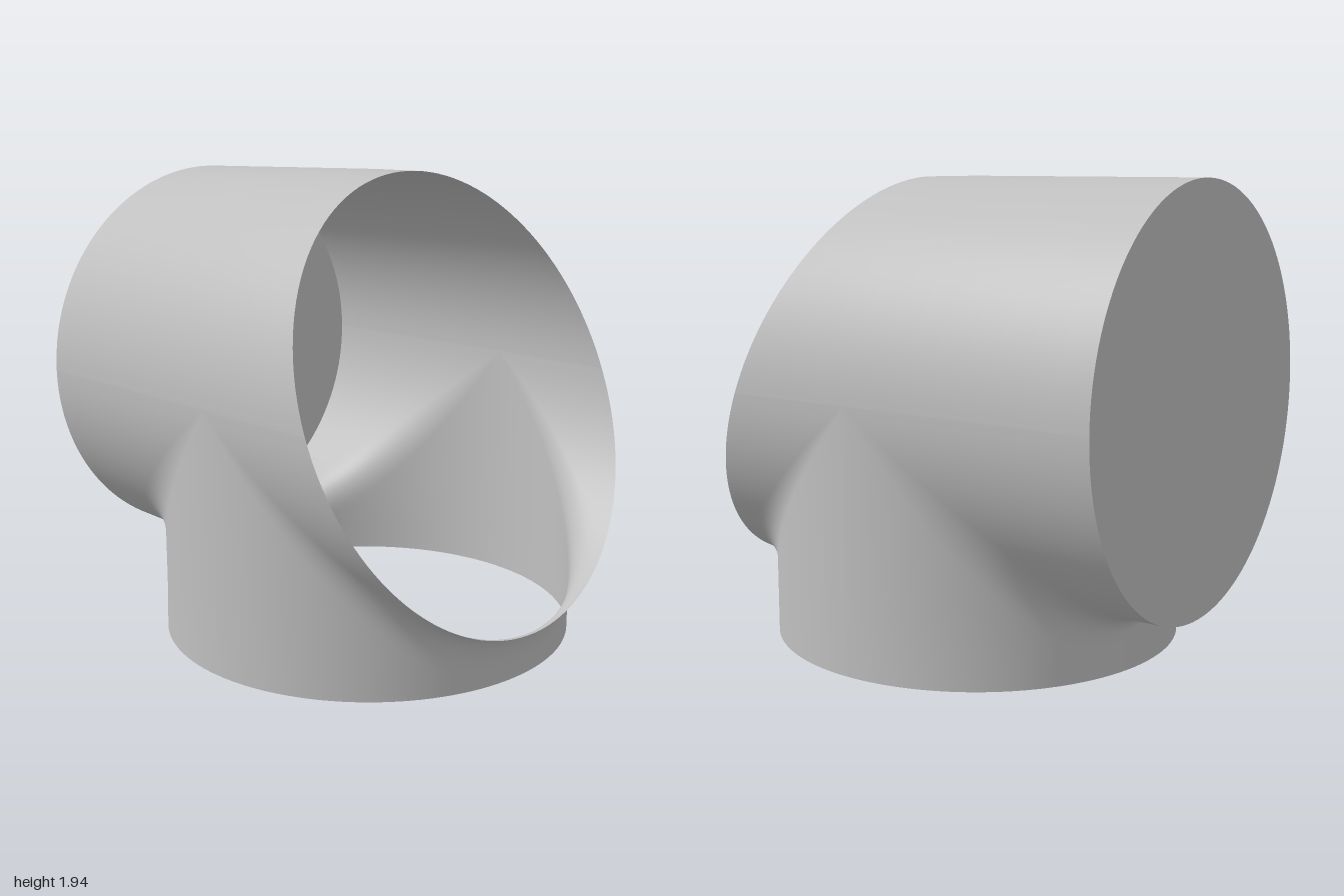
import * as THREE from 'three';

const R = 0.873;      // radius of both pipes
const AXIS_Y = 1.067; // height of the horizontal pipe's axis
const AXIS_Z = 0.07;  // position of the vertical pipe's axis
const SEG = 64;

// Slanted plane that cuts the mouth of the horizontal pipe
const mouthZ = (y) => 0.3 + (1.94 - y) * 0.402;

// Slight narrowing of the horizontal pipe towards its closed end
function taper(x, y, z) {
  const t = THREE.MathUtils.clamp((AXIS_Z - z) / (1 + AXIS_Z), 0, 1) * Math.min(1, y / 0.2);
  const s = 1 - 0.015 * t;
  return [x * s, AXIS_Y - 0.007 * t + (y - AXIS_Y) * s, z];
}

// Skin a list of cross-sections, each an array of [x, y, z]
function skin(rows) {
  const n = rows[0].length;
  const positions = rows.flat().map((p) => taper(...p)).flat();
  const index = [];
  for (let i = 0; i < rows.length - 1; i++) {
    for (let j = 0; j < n - 1; j++) {
      const a = i * n + j, b = a + n;
      index.push(a, b, a + 1, b, b + 1, a + 1);
    }
  }
  const geo = new THREE.BufferGeometry();
  geo.setAttribute('position', new THREE.Float32BufferAttribute(positions, 3));
  geo.setIndex(index);
  geo.computeVertexNormals();
  return geo;
}

// Half of the junction: up the vertical pipe, round a fillet, out along the horizontal pipe
function junctionRow(phi, side) {
  const x = R * Math.cos(phi), w = R * Math.sin(phi);
  const y = AXIS_Y - w, z = AXIS_Z + side * w;
  const end = side > 0 ? mouthZ(y) : -1;
  const f = side > 0 ? 0.2 * w : 0.35 * w * Math.abs(Math.cos(phi));
  const fv = Math.min(f, y * 0.95);
  const fh = Math.min(f, Math.abs(end - z) * 0.9);
  const row = [];
  for (let k = 0; k < 6; k++) row.push([x, (y - fv) * k / 6, z]);
  for (let k = 0; k <= 8; k++) {
    const t = k / 8;
    row.push([x, y - fv * (1 - t) ** 2, z + side * fh * t * t]);
  }
  const start = z + side * fh;
  for (let k = 1; k <= 6; k++) row.push([x, y, start + (end - start) * k / 6]);
  return row;
}

export function createModel() {
  const group = new THREE.Group();
  group.name = 'pipeTee';
  const grey = new THREE.MeshStandardMaterial({ color: 0xc0c0c0, side: THREE.DoubleSide });
  grey.name = 'grey';
  const add = (name, geo) => {
    const mesh = new THREE.Mesh(geo, grey);
    mesh.name = name;
    group.add(mesh);
    return mesh;
  };
  const angles = Array.from({ length: SEG + 1 }, (_, i) => Math.PI * i / SEG);

  // Upper half of the horizontal pipe, from closed end to slanted mouth
  add('upperPipe', skin(angles.map((phi) => {
    const x = R * Math.cos(phi), y = AXIS_Y + R * Math.sin(phi);
    return Array.from({ length: 13 }, (_, k) => [x, y, -1 + (mouthZ(y) + 1) * k / 12]);
  })));

  // Lower halves, flowing into the open vertical pipe
  add('backJunction', skin(angles.map((phi) => junctionRow(phi, -1))));
  add('frontJunction', skin([...angles].reverse().map((phi) => junctionRow(phi, 1))));

  // Flat disc closing the back
  const cap = add('backCap', new THREE.CircleGeometry(R * 0.985, SEG * 2));
  cap.rotation.y = Math.PI;
  cap.position.set(0, AXIS_Y - 0.007, -1);

  return group;
}
